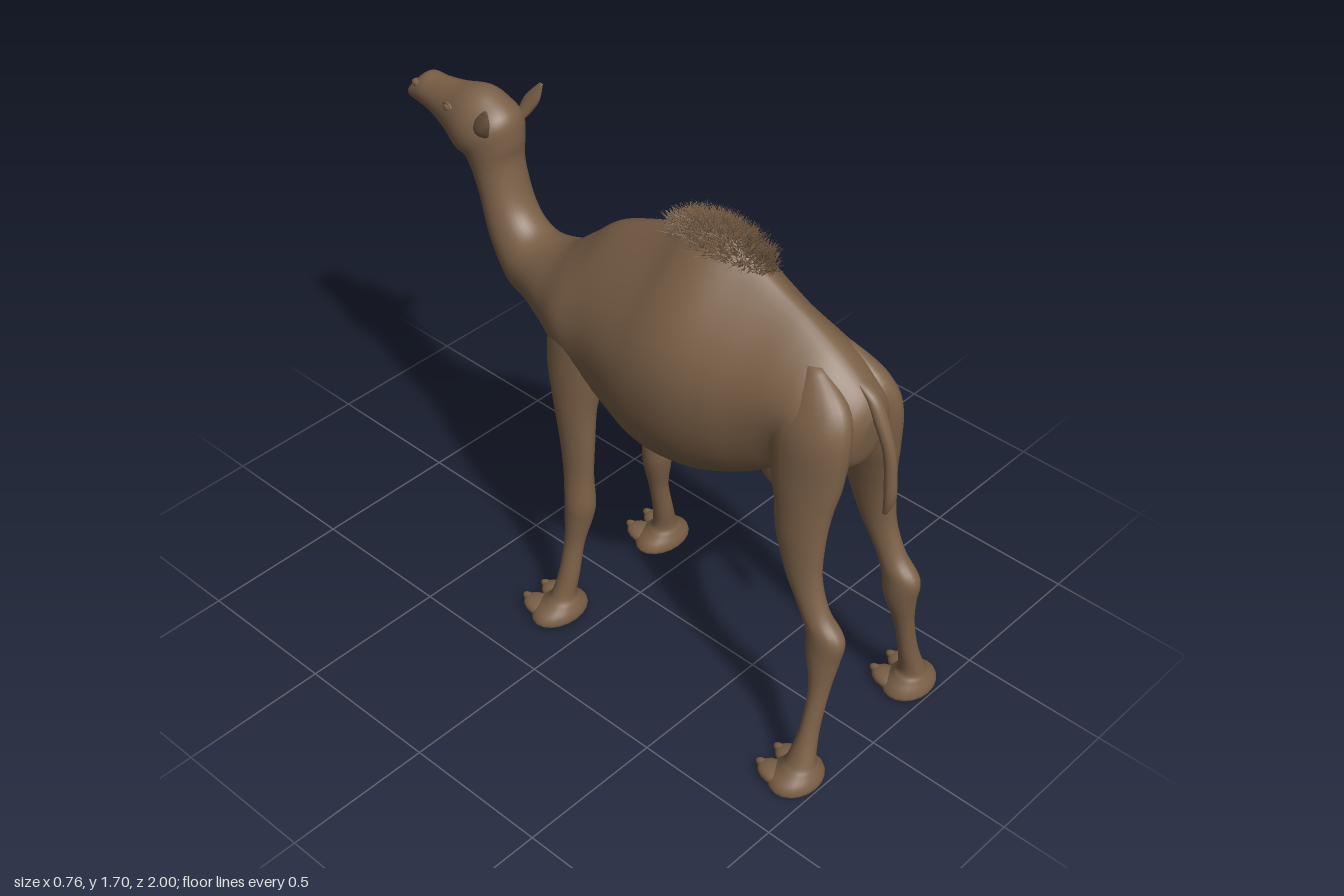
import * as THREE from 'three';
import { mergeGeometries } from 'three/addons/utils/BufferGeometryUtils.js';

const coat = new THREE.MeshStandardMaterial({ color: 0x7b6047 });
coat.name = 'brown coat';

// Smooth skin through sections [x, yA, zA, yB, zB, halfWidth, taper toward A]
function loft(sections, sides = 32, steps = 5) {
  const pos = [], idx = [];
  const last = sections.length - 1, rows = last * steps;
  const at = (k) => sections[Math.min(last, Math.max(0, k))];
  const sample = (u) => {
    const i = Math.min(last - 1, Math.floor(u)), t = u - i;
    return at(i).map((p1, c) => {
      const p0 = at(i - 1)[c], p2 = at(i + 1)[c], p3 = at(i + 2)[c];
      return p1 + 0.5 * t * (p2 - p0 + t * (2 * p0 - 5 * p1 + 4 * p2 - p3 + t * (3 * (p1 - p2) + p3 - p0)));
    });
  };
  for (let r = 0; r <= rows; r++) {
    const [x, yA, zA, yB, zB, w, taper] = sample(r / steps);
    for (let j = 0; j < sides; j++) {
      const a = (j / sides) * Math.PI * 2, s = Math.sin(a);
      pos.push(
        x + w * Math.cos(a) * (1 - taper * Math.max(0, s) ** 2),
        (yA + yB) / 2 + ((yA - yB) / 2) * s,
        (zA + zB) / 2 + ((zA - zB) / 2) * s);
    }
  }
  for (let r = 0; r < rows; r++) for (let j = 0; j < sides; j++) {
    const k = (j + 1) % sides, a = r * sides + j, b = r * sides + k;
    idx.push(a, a + sides, b, b, a + sides, b + sides);
  }
  // End caps
  for (const [r, s] of [[0, sections[0]], [rows, sections[last]]]) {
    const c = pos.length / 3;
    pos.push(s[0], (s[1] + s[3]) / 2, (s[2] + s[4]) / 2);
    for (let j = 0; j < sides; j++) {
      const a = r * sides + j, b = r * sides + (j + 1) % sides;
      if (r === 0) idx.push(c, a, b); else idx.push(c, b, a);
    }
  }
  const g = new THREE.BufferGeometry();
  g.setAttribute('position', new THREE.Float32BufferAttribute(pos, 3));
  g.setIndex(idx);
  g.computeVertexNormals();
  return g;
}

// Level sections [x, y, zA, zB, halfWidth] for upright parts
const upright = (rows, side = 1, sides = 20) =>
  loft(rows.map(([x, y, zA, zB, w]) => [x * side, y, zA, y, zB, w, 0]), sides);

const BODY = [ // rump to shoulders
  [0, 1.26, 0.915, 1.14, 0.9, 0.04, 0.2], [0, 1.32, 0.88, 1.06, 0.87, 0.11, 0.3],
  [0, 1.40, 0.78, 1.0, 0.77, 0.178, 0.4], [0, 1.46, 0.67, 0.98, 0.67, 0.187, 0.5],
  [0, 1.51, 0.56, 0.89, 0.57, 0.21, 0.55], [0, 1.56, 0.46, 0.82, 0.46, 0.245, 0.6],
  [0, 1.62, 0.34, 0.765, 0.33, 0.277, 0.62], [0, 1.615, 0.25, 0.745, 0.2, 0.283, 0.62],
  [0, 1.555, 0.14, 0.76, 0.1, 0.27, 0.6], [0, 1.465, -0.07, 0.82, -0.02, 0.232, 0.5],
  [0, 1.375, -0.18, 0.9, -0.17, 0.215, 0.45],
];
const NECK = [
  [0, 1.29, -0.286, 0.97, -0.29, 0.165, 0.2], [0, 1.262, -0.39, 1.01, -0.42, 0.118, 0.1],
  [0, 1.285, -0.455, 1.04, -0.52, 0.1, 0], [0, 1.347, -0.5, 1.17, -0.607, 0.09, 0],
  [0, 1.465, -0.53, 1.33, -0.66, 0.085, 0], [0, 1.54, -0.527, 1.44, -0.705, 0.096, 0],
];
const HEAD = [
  [0, 1.62, -0.54, 1.455, -0.74, 0.111, 0], [0, 1.665, -0.6, 1.465, -0.76, 0.108, 0.1],
  [0, 1.685, -0.67, 1.48, -0.79, 0.095, 0.1], [0, 1.663, -0.767, 1.497, -0.83, 0.074, 0.2],
  [0, 1.65, -0.85, 1.515, -0.88, 0.06, 0.2], [0, 1.645, -0.91, 1.525, -0.93, 0.054, 0.1],
  [0, 1.6, -0.96, 1.535, -0.97, 0.045, 0], [0, 1.56, -0.995, 1.548, -0.99, 0.02, 0],
];
const HIND_LEG = [
  [0.07, 1.38, 0.71, 0.76, 0.02], [0.09, 1.3, 0.66, 0.87, 0.06], [0.115, 1.2, 0.63, 0.907, 0.078],
  [0.132, 1.05, 0.65, 0.9, 0.072],
  [0.15, 0.95, 0.685, 0.885, 0.06], [0.165, 0.85, 0.705, 0.88, 0.05], [0.175, 0.72, 0.755, 0.885, 0.042],
  [0.18, 0.61, 0.82, 0.925, 0.04], [0.18, 0.54, 0.85, 0.985, 0.045], [0.185, 0.45, 0.865, 0.975, 0.046],
  [0.205, 0.34, 0.895, 0.962, 0.034], [0.24, 0.2, 0.9, 0.96, 0.034], [0.27, 0.1, 0.885, 0.975, 0.042],
  [0.275, 0.07, 0.875, 0.985, 0.062], [0.28, 0.04, 0.85, 0.997, 0.09], [0.28, 0.015, 0.84, 1, 0.1],
  [0.28, 0, 0.85, 0.99, 0.09],
];
const FORE_LEG = [
  [0.1, 1.3, -0.13, -0.07, 0.025], [0.135, 1.15, -0.22, -0.02, 0.07], [0.155, 1.0, -0.235, -0.01, 0.068],
  [0.172, 0.85, -0.2, -0.035, 0.055], [0.178, 0.7, -0.17, -0.04, 0.045], [0.18, 0.58, -0.155, -0.045, 0.042],
  [0.182, 0.47, -0.147, -0.04, 0.049], [0.185, 0.4, -0.147, -0.05, 0.045], [0.2, 0.3, -0.14, -0.07, 0.033],
  [0.225, 0.18, -0.143, -0.072, 0.034], [0.243, 0.1, -0.155, -0.075, 0.042], [0.247, 0.07, -0.17, -0.065, 0.062],
  [0.25, 0.04, -0.2, -0.055, 0.095], [0.25, 0.015, -0.21, -0.055, 0.107], [0.25, 0, -0.2, -0.07, 0.097],
];
const TAIL = [
  [0, 1.36, 0.79, 0.82, 0.015], [0, 1.32, 0.86, 0.9, 0.022], [0, 1.25, 0.9, 0.945, 0.023],
  [0, 1.14, 0.945, 0.985, 0.018], [0, 1, 0.96, 0.997, 0.02], [0, 0.93, 0.96, 0.975, 0.01],
];
const SHEATH = [
  [0, 1.03, 0.5, 0.64, 0.04], [0, 0.92, 0.49, 0.66, 0.045], [0, 0.84, 0.51, 0.655, 0.035],
  [0, 0.805, 0.57, 0.662, 0.022], [0, 0.785, 0.62, 0.665, 0.01],
];
const EAR = [
  [0.07, 1.57, -0.57, -0.6, 0.012], [0.094, 1.6, -0.55, -0.602, 0.02],
  [0.107, 1.645, -0.527, -0.585, 0.015], [0.117, 1.7, -0.52, -0.535, 0.003],
];

// Tuft of fine strands standing out from the hump
function humpHair(count) {
  let seed = 7;
  const rnd = () => (seed = (seed * 16807) % 2147483647) / 2147483647;
  const up = new THREE.Vector3(0, 1, 0), strands = [];
  for (let i = 0; i < count; i++) {
    const r = Math.sqrt(rnd()), a = rnd() * Math.PI * 2;
    const x = 0.076 * r * Math.cos(a), dz = 0.195 * r * Math.sin(a);
    const dir = new THREE.Vector3(20 * x, 1, 3.5 * dz).normalize()
      .add(new THREE.Vector3(rnd() - 0.5, rnd() - 0.5, rnd() - 0.5).multiplyScalar(1.2)).normalize();
    const len = 0.035 + 0.025 * rnd();
    const g = new THREE.ConeGeometry(0.002, len, 3);
    g.translate(0, len / 2 - 0.008, 0);
    g.applyQuaternion(new THREE.Quaternion().setFromUnitVectors(up, dir));
    g.translate(x, 1.626 - 11 * x * x - 2 * dz * dz, 0.32 + dz);
    strands.push(g);
  }
  return mergeGeometries(strands);
}

export function createModel() {
  const model = new THREE.Group();
  model.name = 'camel';
  const add = (name, geometry) => {
    const m = new THREE.Mesh(geometry, coat);
    m.name = name;
    model.add(m);
    return m;
  };
  const blob = (name, x, y, z, sx, sy, sz) => {
    const m = add(name, new THREE.SphereGeometry(1, 16, 12));
    m.position.set(x, y, z);
    m.scale.set(sx, sy, sz);
  };

  add('bodyNeckAndHead', loft([...BODY, ...NECK, ...HEAD], 40));
  add('tail', upright(TAIL));
  add('sheath', upright(SHEATH));
  add('humpHair', humpHair(2100));

  for (const [side, label] of [[1, 'left'], [-1, 'right']]) {
    add(label + 'HindLeg', upright(HIND_LEG, side));
    add(label + 'ForeLeg', upright(FORE_LEG, side));
    add(label + 'Ear', upright(EAR, side, 14));

    // Two toes with nails on each foot
    for (const [foot, x, z] of [['Hind', 0.28, 0.875], ['Fore', 0.25, -0.18]]) {
      for (const t of [-1, 1]) {
        const tx = side * x + t * 0.042;
        blob(label + foot + 'Toe', tx, 0.027, z, 0.046, 0.027, 0.066);
        blob(label + foot + 'Nail', tx, 0.03, z - 0.052, 0.015, 0.015, 0.028);
      }
    }

    // Eye with raised lids, nostril rim
    blob(label + 'Eye', side * 0.075, 1.612, -0.742, 0.014, 0.014, 0.02);
    const lid = add(label + 'Eyelid', new THREE.TorusGeometry(0.021, 0.005, 8, 24));
    lid.position.set(side * 0.079, 1.613, -0.742);
    lid.rotation.y = Math.PI / 2 + side * 0.2;
    lid.scale.y = 0.75;
    blob(label + 'Nostril', side * 0.033, 1.608, -0.925, 0.017, 0.014, 0.028);
  }
  return model;
}
